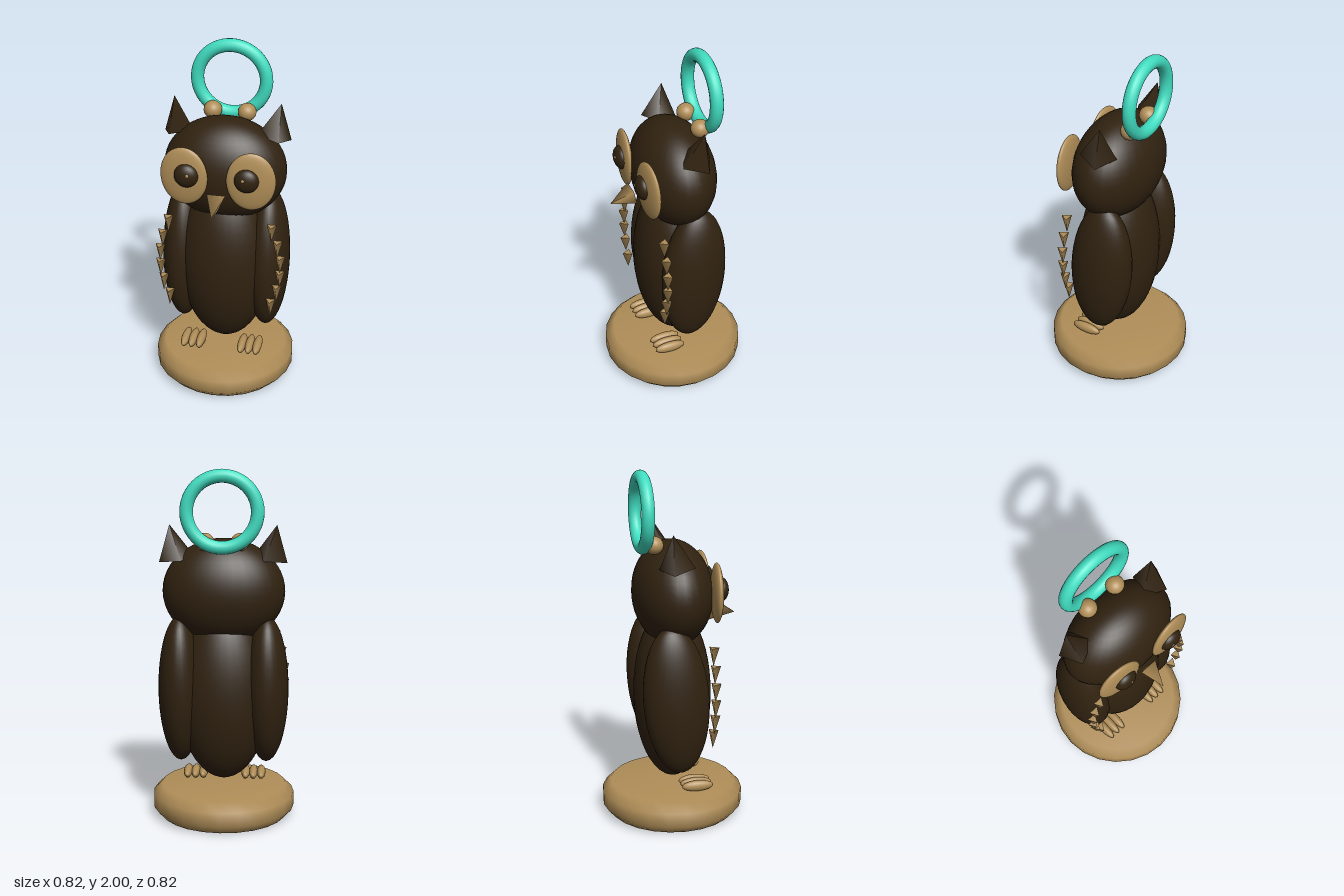
import * as THREE from 'three';

const brown = new THREE.MeshStandardMaterial({ name: 'dark brown', color: 0x302210 });
const tan = new THREE.MeshStandardMaterial({ name: 'tan', color: 0xb08e58 });
const teal = new THREE.MeshStandardMaterial({ name: 'turquoise', color: 0x40dcc0 });

export function createModel() {
  const model = new THREE.Group();
  model.name = 'owlFigurine';

  const add = (name, geometry, material, x = 0, y = 0, z = 0) => {
    const mesh = new THREE.Mesh(geometry, material);
    mesh.name = name;
    mesh.position.set(x, y, z);
    model.add(mesh);
    return mesh;
  };
  const ellipsoid = (name, material, [x, y, z], [rx, ry, rz], segments = 32) =>
    add(name, new THREE.SphereGeometry(1, segments, segments * 0.75).scale(rx, ry, rz), material, x, y, z);

  // Round base with bevelled rims
  const profile = [[0, 0], [0.365, 0], [0.41, 0.05], [0.41, 0.13], [0.36, 0.18], [0, 0.18]];
  add('base', new THREE.LatheGeometry(profile.map(([r, y]) => new THREE.Vector2(r, y)), 24), tan);

  // Body and head
  ellipsoid('body', brown, [0, 0.72, 0], [0.27, 0.51, 0.222]);
  ellipsoid('head', brown, [0, 1.31, 0], [0.348, 0.3, 0.225]);

  // Beak: three-sided cone, one edge underneath
  const beak = add('beak', new THREE.ConeGeometry(1, 0.14, 3).scale(0.06, 1, 0.083), tan, 0, 1.195, 0.302);
  beak.rotation.x = Math.PI / 2 + 0.29;

  // Hanging ring
  add('ring', new THREE.TorusGeometry(0.195, 0.037, 16, 48), teal, 0, 1.768, -0.173);

  // Feathers along the front of each wing, as x and top y
  const feathers = [[0.295, 1.055], [0.33, 0.958], [0.347, 0.862], [0.347, 0.766], [0.33, 0.67], [0.297, 0.573]];
  const up = new THREE.Vector3(0, 1, 0);

  for (const s of [-1, 1]) {
    const wing = ellipsoid('wing', brown, [s * 0.247, 0.745, -0.03], [0.126, 0.43, 0.187]);
    wing.rotation.x = -0.07;

    for (const [x, top] of feathers) {
      const feather = add('feather', new THREE.ConeGeometry(0.033, 0.105, 3), tan, s * x, top - 0.0525, 0.168);
      feather.rotation.z = Math.PI;
    }

    // Ear tuft: four-sided cone leaning out and back
    const foot = new THREE.Vector3(s * 0.268, 1.5, -0.03);
    const axis = new THREE.Vector3(s * 0.3, 1.69, -0.06).sub(foot);
    const height = axis.length();
    const ear = add('ear', new THREE.ConeGeometry(0.1, height, 4).rotateY(s * 0.38), brown);
    ear.position.copy(foot).addScaledVector(axis, 0.5);
    ear.quaternion.setFromUnitVectors(up, axis.normalize());

    // Face disc, eye and its glint
    const disc = ellipsoid('faceDisc', tan, [s * 0.186, 1.337, 0.213], [0.135, 0.168, 0.032]);
    disc.rotation.y = s * 0.09;
    ellipsoid('eye', brown, [s * 0.166, 1.353, 0.24], [0.068, 0.068, 0.042], 24);
    ellipsoid('eyeGlint', tan, [s * 0.153, 1.367, 0.277], [0.01, 0.01, 0.006], 12);

    // Knob gripping the ring
    ellipsoid('ringKnob', tan, [s * 0.097, 1.6, -0.122], [0.052, 0.05, 0.052], 20);

    // Toes
    for (const x of [0.125, 0.171, 0.217])
      ellipsoid('toe', tan, [s * x, 0.21, 0.103], [0.026, 0.032, 0.092], 16);
  }
  return model;
}
